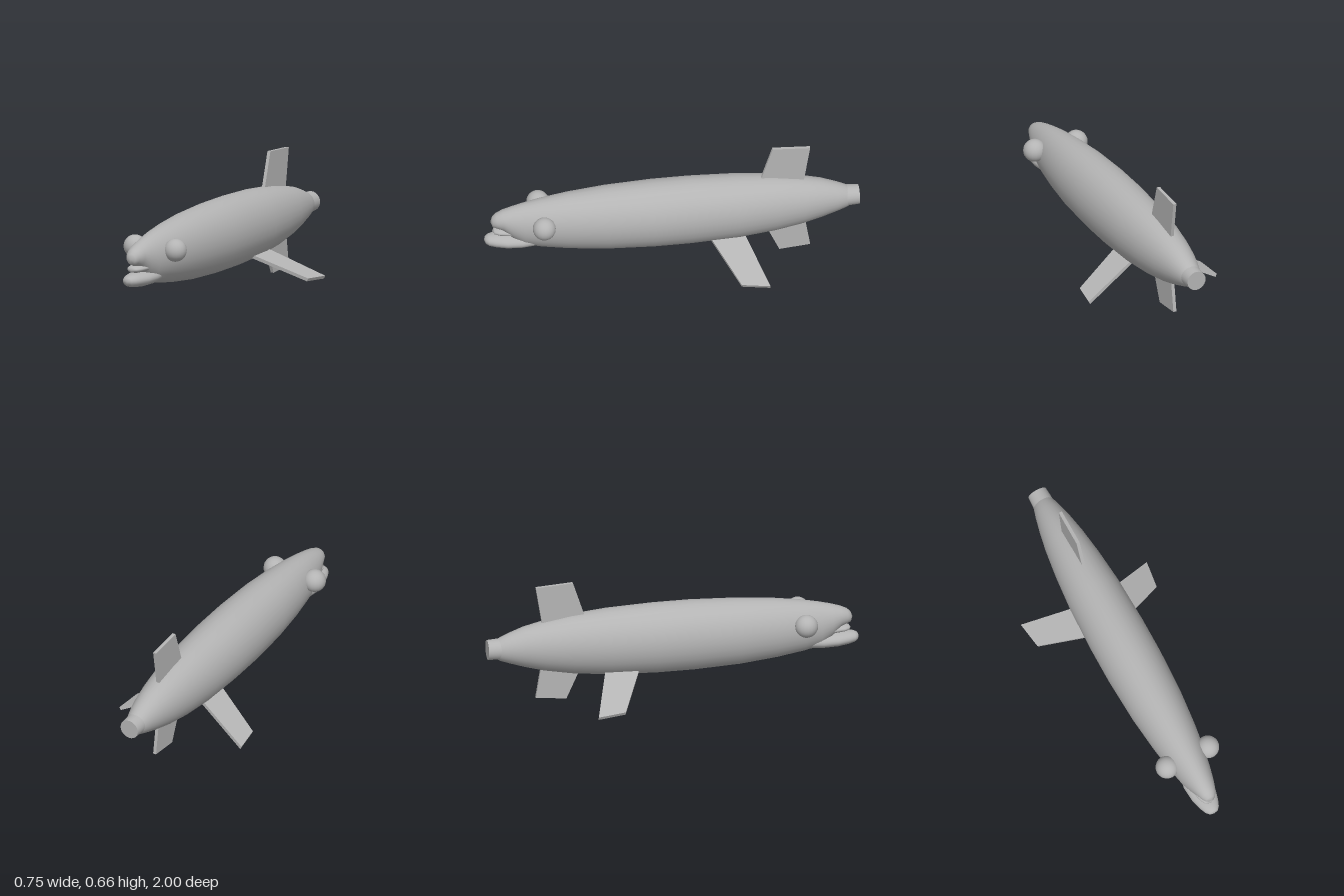
import * as THREE from 'three';

const grey = new THREE.MeshStandardMaterial({ color: 0xb4b4b4 });
grey.name = 'grey';

// Smooth oval loft along z. Each section is [z, halfWidth, topY, bottomY], back to front.
// The front closes on a rounded tip, the back on a flat cap.
function loft(sections, tipZ, sides = 28) {
  const pos = [], idx = [];
  const ring = ([z, w, top, bottom]) => {
    for (let j = 0; j < sides; j++) {
      const a = (j / sides) * Math.PI * 2;
      pos.push(Math.cos(a) * w, (top + bottom) / 2 + Math.sin(a) * (top - bottom) / 2, z);
    }
  };
  sections.forEach(ring);
  const n = sections.length;
  for (let i = 0; i < n - 1; i++) {
    for (let j = 0; j < sides; j++) {
      const k = (j + 1) % sides;
      const a = i * sides + j, b = i * sides + k;
      idx.push(a, b, b + sides, a, b + sides, a + sides);
    }
  }
  const last = sections[n - 1], first = sections[0];
  const tip = pos.length / 3;
  pos.push(0, (last[2] + last[3]) / 2, tipZ);
  for (let j = 0; j < sides; j++) idx.push((n - 1) * sides + j, (n - 1) * sides + (j + 1) % sides, tip);
  // separate vertices keep the back edge sharp
  const cap = pos.length / 3;
  ring(first);
  const centre = pos.length / 3;
  pos.push(0, (first[2] + first[3]) / 2, first[0]);
  for (let j = 0; j < sides; j++) idx.push(centre, cap + (j + 1) % sides, cap + j);
  const g = new THREE.BufferGeometry();
  g.setAttribute('position', new THREE.Float32BufferAttribute(pos, 3));
  g.setIndex(idx);
  g.computeVertexNormals();
  return g;
}

// Flat plate from an outline, centred on its thickness
function plate(points, thickness = 0.018) {
  const shape = new THREE.Shape(points.map(([x, y]) => new THREE.Vector2(x, y)));
  return new THREE.ExtrudeGeometry(shape, { depth: thickness, bevelEnabled: false })
    .translate(0, 0, -thickness / 2);
}

export function createModel() {
  const model = new THREE.Group();
  const add = (name, geometry) => {
    const mesh = new THREE.Mesh(geometry, grey);
    mesh.name = name;
    model.add(mesh);
    return mesh;
  };

  // Body, ending in the upper jaw
  add('body', loft([
    [-0.96, 0.045, 0.355, 0.262],
    [-0.93, 0.058, 0.374, 0.246],
    [-0.88, 0.073, 0.395, 0.228],
    [-0.8, 0.092, 0.424, 0.202],
    [-0.7, 0.111, 0.447, 0.175],
    [-0.55, 0.131, 0.472, 0.147],
    [-0.35, 0.149, 0.490, 0.125],
    [-0.1, 0.157, 0.499, 0.115],
    [0.1, 0.157, 0.499, 0.115],
    [0.35, 0.146, 0.489, 0.125],
    [0.55, 0.126, 0.471, 0.145],
    [0.7, 0.104, 0.450, 0.168],
    [0.79, 0.086, 0.432, 0.190],
    [0.85, 0.071, 0.417, 0.235],
    [0.9, 0.055, 0.401, 0.288],
    [0.935, 0.041, 0.385, 0.302],
    [0.955, 0.026, 0.367, 0.310],
  ], 0.966));

  // Mouth
  add('innerLip', loft([
    [0.75, 0.07, 0.315, 0.255],
    [0.86, 0.055, 0.304, 0.257],
    [0.92, 0.042, 0.298, 0.260],
    [0.945, 0.027, 0.292, 0.266],
  ], 0.957));
  add('lowerJaw', loft([
    [0.7, 0.06, 0.265, 0.180],
    [0.8, 0.076, 0.262, 0.179],
    [0.88, 0.070, 0.260, 0.180],
    [0.94, 0.054, 0.258, 0.186],
    [0.975, 0.040, 0.252, 0.194],
    [0.992, 0.025, 0.243, 0.206],
  ], 1.0));

  // Tail stub
  add('tailStub', new THREE.CylinderGeometry(0.06, 0.053, 0.12, 24)
    .rotateX(Math.PI / 2).translate(0, 0.312, -0.94));

  // Upright fins, outlined in z and y
  const uprightFin = (name, points) => add(name, plate(points).rotateY(-Math.PI / 2));
  uprightFin('dorsalFin', [[-0.465, 0.43], [-0.54, 0.66], [-0.74, 0.648], [-0.703, 0.42]]);
  uprightFin('bellyFin', [[-0.49, 0.19], [-0.575, 0], [-0.74, 0.015], [-0.71, 0.2]]);

  // Paired eyes and slanting side fins
  for (const [side, s] of [['left', 1], ['right', -1]]) {
    add(side + 'Eye', new THREE.SphereGeometry(0.061, 20, 14).translate(s * 0.122, 0.354, 0.695));
    const outline = [[-0.06, -0.18], [0.278, -0.325], [0.3, -0.475], [-0.06, -0.37]];
    add(side + 'Fin', plate(outline.map(([u, z]) => [s * u, z]))
      .rotateX(Math.PI / 2).rotateZ(-s * 0.431).translate(s * 0.1, 0.155, 0));
  }
  return model;
}
